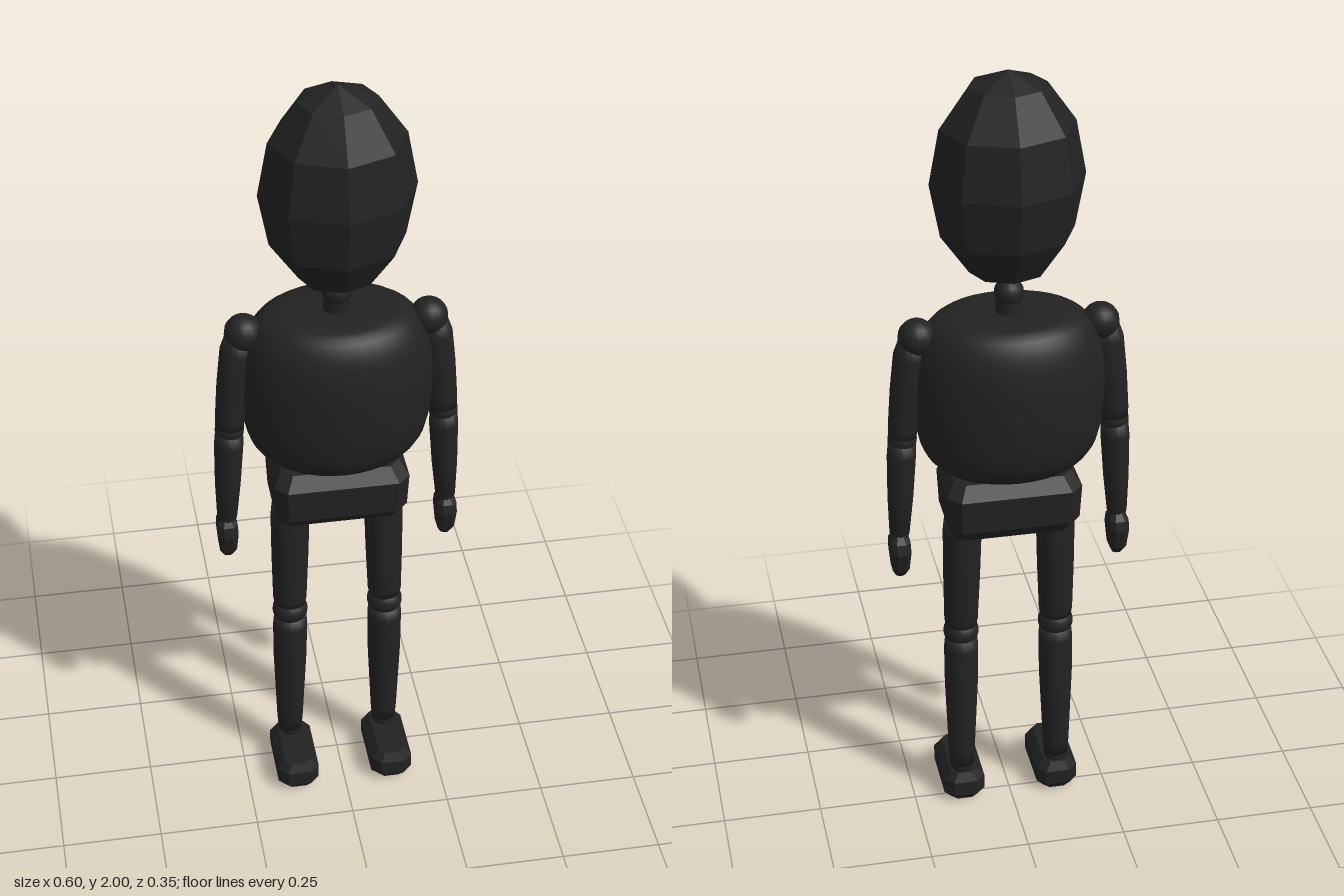
import * as THREE from 'three';

const charcoal = new THREE.MeshStandardMaterial({ color: 0x222222 });
const V = (x, y, z) => new THREE.Vector3(x, y, z);

function flat(geo) {
  const g = geo.index ? geo.toNonIndexed() : geo;
  g.computeVertexNormals();
  return g;
}

function add(parent, name, geo, pos = V(0, 0, 0)) {
  const m = new THREE.Mesh(geo, charcoal);
  m.name = name;
  m.position.copy(pos);
  parent.add(m);
  return m;
}

// Tapered round limb between two points; profile rows are [fraction along, radius]
function limb(parent, name, from, to, profile) {
  const len = from.distanceTo(to);
  const pts = [new THREE.Vector2(0, 0), ...profile.map(([t, r]) => new THREE.Vector2(r, t * len)), new THREE.Vector2(0, len)];
  const m = add(parent, name, new THREE.LatheGeometry(pts, 16), from);
  m.quaternion.setFromUnitVectors(V(0, 1, 0), to.clone().sub(from).normalize());
  return m;
}

// Faceted block from stacked chamfered rectangles; rows are [y, halfX, halfZ, chamfer]
function block(rows) {
  const pos = [], idx = [], n = 8;
  for (const [y, x, z, c] of rows) {
    for (const [px, pz] of [[x, z - c], [x - c, z], [c - x, z], [-x, z - c], [-x, c - z], [c - x, -z], [x - c, -z], [x, c - z]]) pos.push(px, y, pz);
  }
  for (let i = 0; i < rows.length - 1; i++) {
    for (let j = 0; j < n; j++) {
      const a = i * n + j, b = i * n + (j + 1) % n;
      idx.push(a, a + n, b, b, a + n, b + n);
    }
  }
  const top = (rows.length - 1) * n;
  for (let j = 1; j < n - 1; j++) idx.push(0, j, j + 1, top, top + j + 1, top + j);
  // ring order runs clockwise seen from above, so reverse every face
  for (let i = 0; i < idx.length; i += 3) [idx[i + 1], idx[i + 2]] = [idx[i + 2], idx[i + 1]];
  const g = new THREE.BufferGeometry();
  g.setAttribute('position', new THREE.Float32BufferAttribute(pos, 3));
  g.setIndex(idx);
  // make the winding face outwards
  const p = g.attributes.position, A = V(), B = V(), C = V(), mid = V(0, (rows[0][0] + rows.at(-1)[0]) / 2, 0);
  for (let i = 0; i < idx.length; i += 3) {
    A.fromBufferAttribute(p, idx[i]); B.fromBufferAttribute(p, idx[i + 1]); C.fromBufferAttribute(p, idx[i + 2]);
    const normal = B.clone().sub(A).cross(C.clone().sub(A));
    if (normal.dot(A.clone().add(B).add(C).divideScalar(3).sub(mid)) < 0) [idx[i + 1], idx[i + 2]] = [idx[i + 2], idx[i + 1]];
  }
  g.setIndex(idx);
  return flat(g);
}

// Barrel torso: squarish vertical profile, elliptical in plan
function torsoGeometry() {
  const curve = new THREE.SplineCurve([
    [0.0, 0.978], [0.1, 0.982], [0.165, 1.0], [0.205, 1.045], [0.222, 1.11], [0.228, 1.2],
    [0.224, 1.28], [0.205, 1.35], [0.165, 1.393], [0.1, 1.402], [0, 1.403],
  ].map(([x, y]) => new THREE.Vector2(x, y)));
  const pts = curve.getPoints(30);
  pts.forEach(p => { p.x = Math.max(0, p.x); });
  return new THREE.LatheGeometry(pts, 32).scale(1.02, 1, 0.76);
}

function arm(side) {
  const g = new THREE.Group();
  g.name = side > 0 ? 'leftArm' : 'rightArm';
  const s = (x, y, z) => V(side * x, y, z);
  add(g, 'shoulderJoint', new THREE.SphereGeometry(0.046, 16, 12), s(0.222, 1.355, -0.004));
  limb(g, 'upperArm', s(0.262, 1.09, 0), s(0.235, 1.345, -0.003), [[0, 0.034], [0.1, 0.037], [0.5, 0.041], [0.85, 0.041], [1, 0.032]]);
  add(g, 'elbowJoint', new THREE.SphereGeometry(0.036, 16, 10), s(0.262, 1.083, 0));
  limb(g, 'forearm', s(0.274, 0.82, 0), s(0.263, 1.078, 0), [[0, 0.025], [0.4, 0.032], [0.85, 0.036], [1, 0.034]]);
  add(g, 'wristJoint', new THREE.SphereGeometry(0.024, 12, 8), s(0.274, 0.815, 0));
  add(g, 'hand', block([[0.702, 0.012, 0.014, 0.006], [0.722, 0.021, 0.028, 0.01], [0.775, 0.025, 0.042, 0.014], [0.802, 0.024, 0.035, 0.012], [0.818, 0.015, 0.02, 0.008]]), s(0.275, 0, -0.002));
  return g;
}

function leg(side) {
  const g = new THREE.Group();
  g.name = side > 0 ? 'leftLeg' : 'rightLeg';
  const s = (x, y, z) => V(side * x, y, z);
  limb(g, 'thigh', s(0.122, 0.53, 0.007), s(0.117, 0.84, 0), [[0, 0.04], [0.06, 0.043], [0.5, 0.047], [0.9, 0.049], [1, 0.046]]);
  add(g, 'kneeJoint', new THREE.SphereGeometry(0.045, 16, 12).scale(1, 0.85, 1), s(0.122, 0.506, 0.008));
  limb(g, 'shin', s(0.125, 0.1, 0), s(0.122, 0.488, 0.008), [[0, 0.031], [0.1, 0.034], [0.65, 0.043], [0.92, 0.044], [1, 0.041]]);
  add(g, 'ankleJoint', new THREE.SphereGeometry(0.031, 14, 10), s(0.124, 0.094, 0));
  add(g, 'foot', block([[0, 0.034, 0.083, 0.015], [0.022, 0.053, 0.099, 0.023], [0.062, 0.053, 0.099, 0.023], [0.085, 0.034, 0.087, 0.015]]), s(0.123, 0, 0.054));
  return g;
}

export function createModel() {
  const model = new THREE.Group();
  model.name = 'jointedFigure';

  // Head and neck
  add(model, 'head', flat(new THREE.SphereGeometry(1, 8, 6).scale(0.185, 0.266, 0.163)), V(0, 1.734, 0.013));
  add(model, 'neckJoint', new THREE.SphereGeometry(0.036, 16, 10), V(0, 1.45, 0));
  add(model, 'neck', new THREE.CylinderGeometry(0.03, 0.034, 0.09, 16), V(0, 1.42, 0));

  // Trunk
  add(model, 'torso', torsoGeometry(), V(0, 0, -0.003));
  add(model, 'waistJoint', new THREE.SphereGeometry(0.07, 16, 12), V(0, 0.965, 0));
  add(model, 'pelvis', block([
    [0.812, 0.145, 0.06, 0.02], [0.855, 0.163, 0.1, 0.03], [0.945, 0.167, 0.106, 0.03], [0.977, 0.145, 0.075, 0.025],
  ]));

  // Limbs
  for (const side of [1, -1]) model.add(arm(side), leg(side));
  return model;
}
